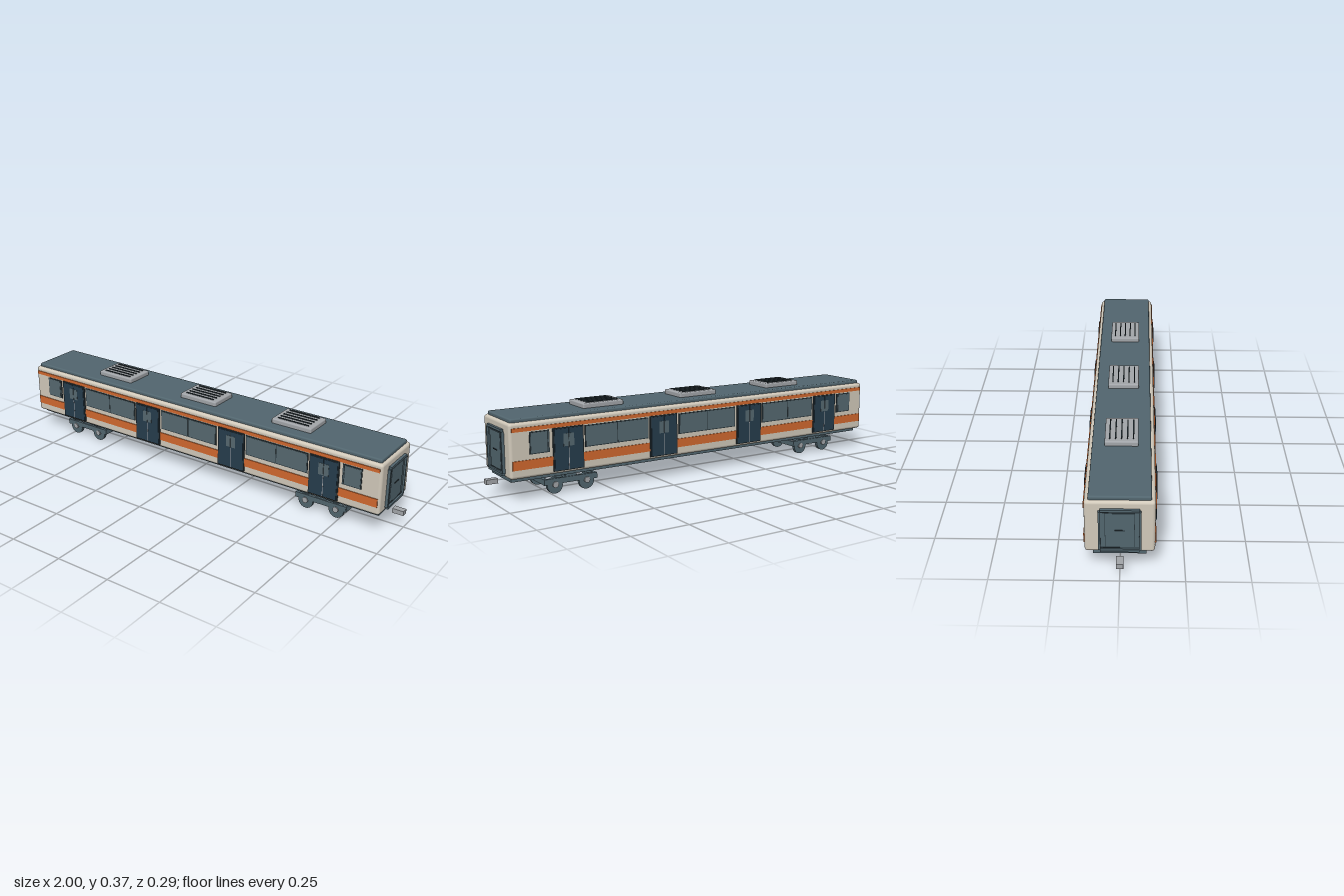
import * as THREE from 'three';
import { RoundedBoxGeometry } from 'three/addons/geometries/RoundedBoxGeometry.js';

const colour = (name, hex) => {
  const m = new THREE.MeshStandardMaterial({ color: hex });
  m.name = name;
  return m;
};

export function createModel() {
  const cream = colour('cream paint', 0xd2cabb);
  const orange = colour('orange stripe', 0xd2692f);
  const slate = colour('slate grey', 0x52666f);
  const navy = colour('door navy', 0x263d4d);
  const glass = colour('window glass', 0x566970);
  const metal = colour('light metal', 0xa3a6aa);
  const dark = colour('dark trim', 0x2a363c);

  const train = new THREE.Group();
  train.name = 'railCarriage';

  const add = (parent, name, geo, mat, x, y, z) => {
    const mesh = new THREE.Mesh(geo, mat);
    mesh.name = name;
    mesh.position.set(x, y, z);
    parent.add(mesh);
    return mesh;
  };
  const box = (parent, name, mat, w, h, d, x, y, z) =>
    add(parent, name, new THREE.BoxGeometry(w, h, d), mat, x, y, z);
  const soft = (parent, name, mat, w, h, d, x, y, z, r) =>
    add(parent, name, new RoundedBoxGeometry(w, h, d, 3, r), mat, x, y, z);

  // Body shell, roof and floor frame
  soft(train, 'body', cream, 1.888, 0.23, 0.268, 0, 0.21, 0, 0.013);
  soft(train, 'roof', slate, 1.864, 0.03, 0.238, 0, 0.325, 0, 0.007);
  box(train, 'underframe', slate, 1.86, 0.022, 0.204, 0, 0.089, 0);

  // Roof ventilation units with louvres
  for (const x of [-0.485, 0, 0.485]) {
    const unit = new THREE.Group();
    unit.name = 'roofUnit';
    unit.position.x = x;
    train.add(unit);
    soft(unit, 'unitCase', metal, 0.194, 0.024, 0.136, 0, 0.349, 0, 0.006);
    for (let i = -2; i <= 2; i++) {
      box(unit, 'louvre', dark, 0.15, 0.005, 0.005, 0, 0.3625, i * 0.024);
    }
  }

  // Both long sides
  for (const s of [1, -1]) {
    const side = new THREE.Group();
    side.name = s > 0 ? 'frontSide' : 'backSide';
    train.add(side);
    const plate = (name, mat, x, y, w, h, out) =>
      box(side, name, mat, w, h, 0.006, x, y, s * (out - 0.003));

    plate('upperStripe', orange, 0, 0.297, 1.868, 0.016, 0.1375);
    plate('lowerStripe', orange, 0, 0.152, 1.868, 0.038, 0.1375);

    // Windows: dark surround with two panes
    const windowAt = (x, w, split) => {
      plate('windowFrame', dark, x, 0.238, w, 0.092, 0.137);
      const left = x - w / 2 + 0.004;
      const right = x + w / 2 - 0.004;
      for (const [a, b] of [[left, split - 0.002], [split + 0.002, right]]) {
        plate('windowPane', glass, (a + b) / 2, 0.238, b - a, 0.084, 0.1385);
      }
    };
    for (const x of [-0.465, -0.003, 0.459]) windowAt(x, 0.306, x);
    windowAt(-0.82, 0.087, -0.785);
    windowAt(0.816, 0.087, 0.781);

    // Sliding double doors
    for (const x of [-0.695, -0.235, 0.23, 0.689]) {
      plate('doorFrame', dark, x, 0.197, 0.138, 0.18, 0.14);
      for (const e of [-1, 1]) {
        plate('doorLeaf', navy, x + e * 0.0325, 0.197, 0.062, 0.172, 0.1425);
        plate('doorWindow', glass, x + e * 0.0125, 0.235, 0.023, 0.053, 0.1435);
      }
      plate('doorSeam', metal, x, 0.158, 0.003, 0.095, 0.143);
    }
  }

  // End gangways and couplers
  for (const s of [1, -1]) {
    const end = new THREE.Group();
    end.name = s > 0 ? 'leftEnd' : 'rightEnd';
    train.add(end);
    box(end, 'gangwayPanel', slate, 0.008, 0.18, 0.152, s * 0.944, 0.199, 0);
    box(end, 'gangwayDoor', slate, 0.006, 0.154, 0.108, s * 0.948, 0.2, 0);
    box(end, 'doorHandle', dark, 0.003, 0.004, 0.04, s * 0.952, 0.2, 0);
    for (const e of [-1, 1]) {
      box(end, 'gangwayPost', slate, 0.016, 0.172, 0.008, s * 0.948, 0.199, e * 0.077);
      box(end, 'gangwayRail', slate, 0.016, 0.01, 0.148, s * 0.948, 0.199 + e * 0.091, 0);
      box(end, 'doorEdge', dark, 0.005, 0.154, 0.002, s * 0.947, 0.2, e * 0.055);
      box(end, 'panelEdge', dark, 0.005, 0.002, 0.144, s * 0.947, 0.199 + e * 0.08, 0);
    }
    box(end, 'coupler', metal, 0.05, 0.02, 0.028, s * 0.975, 0.069, 0);
  }

  // Bogies
  const wheelGeo = new THREE.CylinderGeometry(0.035, 0.035, 0.015, 24).rotateX(Math.PI / 2);
  const hubGeo = new THREE.CylinderGeometry(0.013, 0.013, 0.01, 16).rotateX(Math.PI / 2);
  const axleGeo = new THREE.CylinderGeometry(0.006, 0.006, 0.17, 12).rotateX(Math.PI / 2);
  for (const x of [-0.66, 0.66]) {
    const bogie = new THREE.Group();
    bogie.name = 'bogie';
    bogie.position.x = x;
    train.add(bogie);
    box(bogie, 'bolster', slate, 0.06, 0.024, 0.18, 0, 0.053, 0);
    for (const s of [-1, 1]) {
      box(bogie, 'sideFrame', slate, 0.24, 0.024, 0.012, 0, 0.054, s * 0.091);
      box(bogie, 'endBeam', slate, 0.014, 0.024, 0.192, s * 0.115, 0.053, 0);
      box(bogie, 'spring', metal, 0.03, 0.016, 0.02, 0, 0.072, s * 0.066);
      box(bogie, 'frameBracket', slate, 0.05, 0.016, 0.016, 0, 0.072, s * 0.085);
      add(bogie, 'axle', axleGeo, metal, s * 0.073, 0.035, 0);
      for (const e of [-1, 1]) {
        add(bogie, 'wheel', wheelGeo, slate, s * 0.073, 0.035, e * 0.085);
        add(bogie, 'hub', hubGeo, metal, s * 0.073, 0.04, e * 0.096);
      }
    }
  }

  return train;
}
